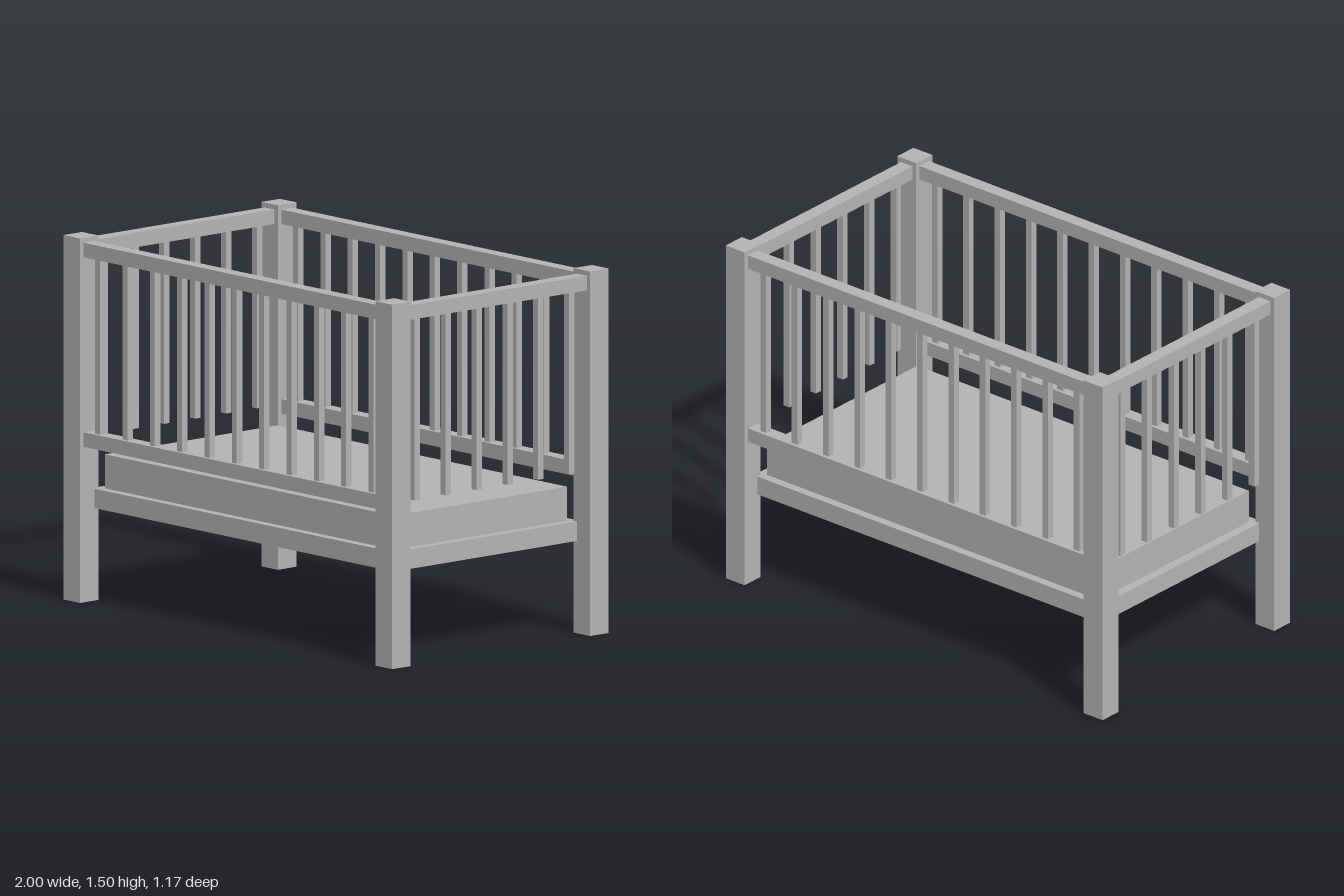
import * as THREE from 'three';

export function createModel() {
  const crib = new THREE.Group();
  crib.name = 'crib';
  const grey = new THREE.MeshStandardMaterial({ color: 0xb3b3b3 });
  grey.name = 'plain grey';

  const POST = 0.1, RAIL = 0.06, SLAT = 0.03;
  const PX = 0.95, PZ = 0.535; // post centres
  const RAIL_TOP = 1.48, RAIL_BOTTOM = RAIL_TOP - RAIL;

  // Box given its size, its centre in x and z, and its underside height
  function box(name, w, h, d, x, bottom, z) {
    const mesh = new THREE.Mesh(new THREE.BoxGeometry(w, h, d), grey);
    mesh.name = name;
    mesh.position.set(x, bottom + h / 2, z);
    crib.add(mesh);
  }

  // Corner posts
  for (const sx of [-1, 1])
    for (const sz of [-1, 1]) box('cornerPost', POST, 1.5, POST, sx * PX, 0, sz * PZ);

  // Base slab and mattress
  box('base', 1.84, 0.08, 1.01, 0, 0.38, 0);
  box('mattress', 1.76, 0.14, 0.936, 0, 0.46, 0);

  // Long sides: upper rail, lower rail and slats between them
  for (const s of [-1, 1]) {
    box('longUpperRail', 2 * PX - POST, RAIL, RAIL, 0, RAIL_BOTTOM, s * PZ);
    box('longLowerRail', 2 * PX - POST, RAIL, RAIL, 0, 0.64, s * PZ);
    for (let i = -5; i <= 5; i++)
      box('longSideSlat', SLAT, RAIL_BOTTOM - 0.7, SLAT, i * 0.1663, 0.7, s * PZ);
  }

  // Short ends: upper rail with free-hanging slats
  for (const s of [-1, 1]) {
    box('endUpperRail', RAIL, RAIL, 2 * PZ - POST, s * PX, RAIL_BOTTOM, 0);
    for (let i = 0; i < 6; i++)
      box('endSlat', SLAT, RAIL_BOTTOM - 0.67, SLAT, s * PX, 0.67, (i - 2.5) * 0.167);
  }

  return crib;
}
